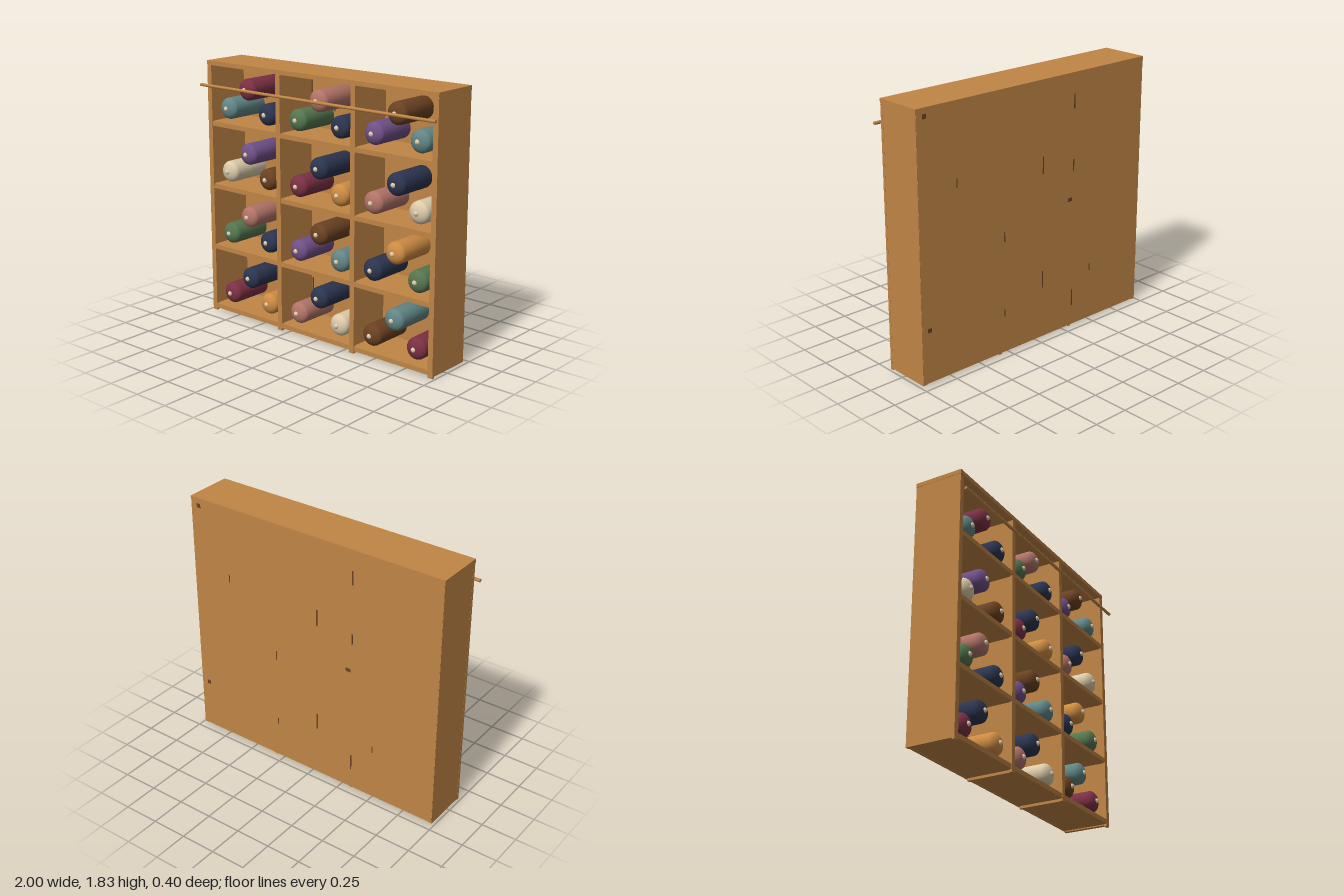
import * as THREE from 'three';

const mat = (name, color) => {
  const m = new THREE.MeshStandardMaterial({ color });
  m.name = name;
  return m;
};

export function createModel() {
  const model = new THREE.Group();
  model.name = 'rollShelf';

  const wood = mat('wood', 0xc08545);
  const colours = {
    T: mat('teal', 0x628686), B: mat('burgundy', 0x7c3044), N: mat('navy', 0x2c3550),
    R: mat('rose', 0xb27468), G: mat('green', 0x55764f), W: mat('darkBrown', 0x6b4222),
    P: mat('purple', 0x705088), C: mat('cream', 0xdccbaa), O: mat('ochre', 0xce8c42),
  };

  // Box given by its lower and upper corners
  const box = (name, x0, x1, y0, y1, z0, z1, material = wood, parent = model) => {
    const m = new THREE.Mesh(new THREE.BoxGeometry(x1 - x0, y1 - y0, z1 - z0), material);
    m.position.set((x0 + x1) / 2, (y0 + y1) / 2, (z0 + z1) / 2);
    m.name = name;
    parent.add(m);
  };

  // Case: top, back, upright panels with front trims, shelves
  box('topBoard', -0.985, 0.985, 1.795, 1.825, -0.2, 0.142);
  box('backPanel', -0.98, 0.98, 0.015, 1.795, -0.2, -0.185);
  for (const s of [-1, 1]) {
    box('sidePanel', s * 0.968 - 0.015, s * 0.968 + 0.015, 0.01, 1.795, -0.199, 0.135);
    box('sideTrim', s * 0.965 - 0.019, s * 0.965 + 0.019, 0, 1.79, 0.12, 0.14);
    box('divider', s * 0.321 - 0.012, s * 0.321 + 0.012, 0, 1.795, -0.19, 0.132);
    box('dividerTrim', s * 0.323 - 0.019, s * 0.323 + 0.019, 0, 1.79, 0.12, 0.14);
  }
  const pitch = 0.45;
  for (let i = 0; i < 4; i++) {
    box('shelf', -0.965, 0.965, 0.018 + i * pitch, 0.05 + i * pitch, -0.19, 0.138);
  }

  // Hanging rod across the front
  const rod = new THREE.Mesh(new THREE.CylinderGeometry(0.011, 0.011, 2, 12), wood);
  rod.name = 'frontRod';
  rod.rotation.z = Math.PI / 2;
  rod.position.set(0, 1.66, 0.189);
  model.add(rod);

  // Roll: cylinder with a domed front, turned to face +z
  const profile = [new THREE.Vector2(0, -0.183), new THREE.Vector2(0.075, -0.183)];
  for (let i = 0; i <= 8; i++) {
    const a = (i / 8) * Math.PI / 2;
    profile.push(new THREE.Vector2(i === 8 ? 0 : 0.075 * Math.cos(a), 0.085 + 0.045 * Math.sin(a)));
  }
  const rollGeo = new THREE.LatheGeometry(profile, 28).rotateX(Math.PI / 2);
  const knobGeo = new THREE.SphereGeometry(0.018, 12, 8);

  // Colours per cell from the bottom row up: upper, left and right roll
  const rows = [
    ['NBO', 'NRC', 'TWB'],
    ['RGN', 'WPT', 'ONG'],
    ['PCW', 'NBO', 'NRC'],
    ['BTN', 'RGN', 'WPT'],
  ];
  const spots = [[0, 0.3], [-0.18, 0.15], [0.18, 0.15]];
  rows.forEach((row, r) => row.forEach((cell, c) => {
    spots.forEach(([dx, y], k) => {
      const roll = new THREE.Group();
      roll.name = 'fabricRoll';
      const body = new THREE.Mesh(rollGeo, colours[cell[k]]);
      body.name = 'rollBody';
      const knob = new THREE.Mesh(knobGeo, colours.C);
      knob.name = 'rollKnob';
      knob.position.z = 0.125;
      roll.add(body, knob);
      roll.position.set((c - 1) * 0.642 + dx, y + r * pitch, 0);
      model.add(roll);
    });
  }));

  // Small dark grain marks as thin plates: x, y, width, height
  const marks = new THREE.Group();
  marks.name = 'grainMarks';
  model.add(marks);
  const mark = (z, list) => list.forEach(([x, y, w, h]) =>
    box('grainMark', x - w / 2, x + w / 2, y - h / 2, y + h / 2, z - 0.001, z + 0.001, colours.W, marks));
  mark(-0.2, [
    [0.68, 1.3, 0.008, 0.06], [0.29, 0.84, 0.008, 0.07], [0.29, 0.3, 0.008, 0.05],
    [-0.05, 1.25, 0.01, 0.12], [-0.05, 0.44, 0.01, 0.12], [-0.33, 1.63, 0.01, 0.1],
    [-0.33, 1.19, 0.01, 0.08], [-0.33, 0.22, 0.01, 0.12], [-0.5, 0.4, 0.008, 0.05],
    [0.92, 1.77, 0.03, 0.03], [0.92, 0.38, 0.03, 0.03], [-0.3, 0.95, 0.04, 0.025],
  ]);
  mark(-0.185, [
    [-0.92, 1.77, 0.03, 0.03], [0.46, 1.77, 0.03, 0.03], [-0.92, 0.38, 0.03, 0.025],
    [0.46, 0.38, 0.03, 0.025], [0.77, 0.68, 0.025, 0.035], [0.7, 0.56, 0.01, 0.08],
    [0.65, 1.16, 0.025, 0.03], [-0.3, 1.7, 0.012, 0.14], [-0.3, 0.24, 0.012, 0.14],
    [-0.1, 1.57, 0.012, 0.08], [-0.49, 1.26, 0.01, 0.06], [-0.88, 1.31, 0.01, 0.04],
  ]);

  return model;
}
